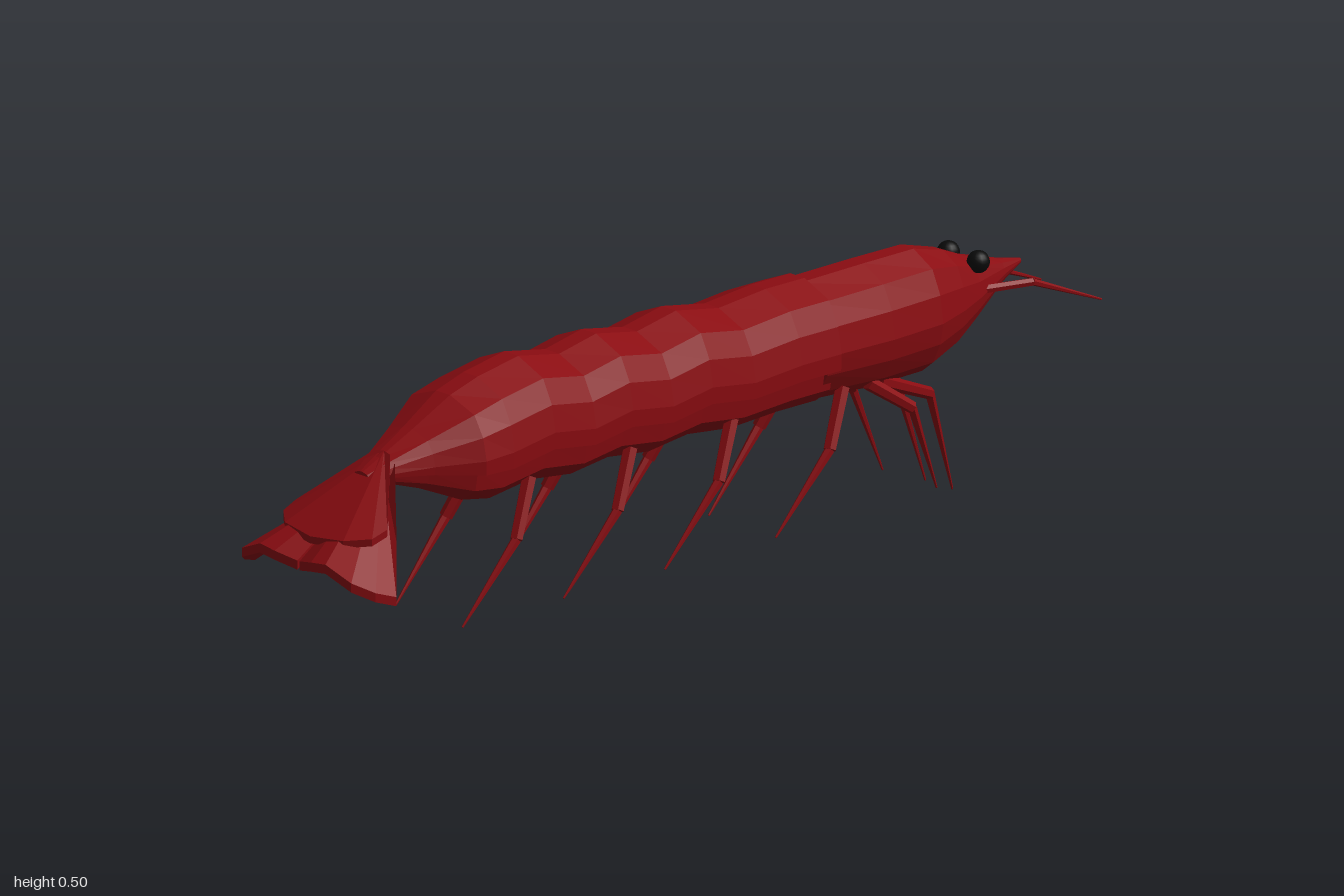
import * as THREE from 'three';

const red = new THREE.MeshStandardMaterial({ color: 0x8a0c11, flatShading: true });
const black = new THREE.MeshStandardMaterial({ color: 0x0a0a0a });

function fromTriangles(positions, index) {
  const g = new THREE.BufferGeometry();
  g.setAttribute('position', new THREE.Float32BufferAttribute(positions, 3));
  g.setIndex(index);
  g.computeVertexNormals();
  return g;
}

// Skin over cross-sections. profile: half section [u, v] from top to bottom;
// rings: [z, half width, bottom y, top y].
function loft(profile, rings) {
  const inner = profile.slice(1, -1).reverse().map(([u, v]) => [-u, v]);
  const section = [...profile, ...inner];
  const n = section.length, pos = [], idx = [];
  for (const [z, w, y0, y1] of rings)
    for (const [u, v] of section) pos.push(u * w, y0 + v * (y1 - y0), z);
  for (let i = 0; i < rings.length - 1; i++)
    for (let j = 0; j < n; j++) {
      const a = i * n + j, b = i * n + (j + 1) % n, c = a + n, d = b + n;
      idx.push(a, c, b, b, c, d);
    }
  // end caps
  [0, rings.length - 1].forEach((r, end) => {
    const [z, , y0, y1] = rings[r], centre = pos.length / 3;
    pos.push(0, (y0 + y1) / 2, z);
    for (let j = 0; j < n; j++) {
      const a = r * n + j, b = r * n + (j + 1) % n;
      if (end) idx.push(centre, b, a); else idx.push(centre, a, b);
    }
  });
  return fromTriangles(pos, idx);
}

// Thin slab under an outline of 3D points, fanned from the first point.
function plate(points, thickness, side) {
  const n = points.length, pos = [], idx = [];
  const tri = (a, b, c) => (side > 0 ? idx.push(a, c, b) : idx.push(a, b, c));
  for (const drop of [0, thickness])
    for (const [x, y, z] of points) pos.push(x * side, y - drop, z);
  for (let j = 1; j < n - 1; j++) {
    tri(0, j, j + 1);
    tri(n, n + j + 1, n + j);
  }
  for (let j = 0; j < n; j++) {
    const k = (j + 1) % n;
    tri(j, n + j, k);
    tri(k, n + j, n + k);
  }
  return fromTriangles(pos, idx);
}

// Jointed limb: straight tapered pieces. joints: [x, y, z, radius at start, radius at end].
function limb(name, joints, side) {
  const group = new THREE.Group();
  group.name = name;
  for (let i = 0; i < joints.length - 1; i++) {
    const a = new THREE.Vector3(joints[i][0] * side, joints[i][1], joints[i][2]);
    const b = new THREE.Vector3(joints[i + 1][0] * side, joints[i + 1][1], joints[i + 1][2]);
    const dir = b.clone().sub(a);
    const g = new THREE.CylinderGeometry(joints[i][4], joints[i][3], dir.length(), 6);
    const m = new THREE.Mesh(g, red);
    m.name = name + 'Segment' + (i + 1);
    m.position.copy(a).add(b).multiplyScalar(0.5);
    m.quaternion.setFromUnitVectors(new THREE.Vector3(0, 1, 0), dir.normalize());
    group.add(m);
  }
  return group;
}

export function createModel() {
  const model = new THREE.Group();
  model.name = 'shrimp';
  const add = (name, geometry, material = red) => {
    const m = new THREE.Mesh(geometry, material);
    m.name = name;
    model.add(m);
    return m;
  };

  // abdomen: domed shell overhanging a narrower belly, with wavy segments
  const shellProfile = [[0, 1], [0.16, 1], [0.72, 0.88], [0.92, 0.68], [1, 0.46], [0.99, 0.32],
    [0.8, 0.33], [0.74, 0.13], [0.42, 0], [0, 0]];
  const abdomenRings = [[-0.3, 0.122, 0.258, 0.492], [-0.2, 0.122, 0.258, 0.492]];
  [-0.08, 0.03, 0.13, 0.235, 0.33, 0.435].forEach((z, i) =>
    abdomenRings.push([z, 0.122, i % 2 ? 0.264 : 0.252, i % 2 ? 0.5 : 0.481]));
  abdomenRings.push([0.54, 0.122, 0.25, 0.482], [0.61, 0.12, 0.262, 0.461],
    [0.7, 0.075, 0.3, 0.412], [0.78, 0.04, 0.325, 0.372], [0.82, 0.022, 0.325, 0.352]);
  add('abdomen', loft(shellProfile, abdomenRings)).position.x = -0.004;

  // carapace tapering to the pointed snout
  const headProfile = [[0, 1], [0.18, 1], [0.7, 0.88], [0.92, 0.68], [1, 0.45],
    [0.92, 0.27], [0.72, 0.1], [0.42, 0], [0, 0]];
  add('carapace', loft(headProfile, [
    [-0.87, 0.004, 0.393, 0.402], [-0.81, 0.024, 0.368, 0.415], [-0.72, 0.056, 0.312, 0.441],
    [-0.66, 0.076, 0.277, 0.467], [-0.58, 0.1, 0.253, 0.488], [-0.45, 0.107, 0.252, 0.488],
    [-0.28, 0.111, 0.262, 0.486],
  ])).position.x = -0.002;

  const outerFan = [[0, 0.355, 0.77], [0.035, 0.365, 0.77], [0.125, 0.25, 0.85], [0.194, 0.172, 0.915],
    [0.18, 0.185, 0.955], [0.15, 0.205, 0.99], [0.09, 0.23, 1], [0.05, 0.225, 1], [0.003, 0.213, 0.985]];
  const innerFan = [[0, 0.382, 0.765], [0.022, 0.38, 0.77], [0.126, 0.28, 0.875],
    [0.122, 0.268, 0.91], [0.08, 0.262, 0.945], [0, 0.255, 0.955]];

  for (const side of [1, -1]) {
    const label = side > 0 ? 'left' : 'right';

    // tail fan
    add(label + 'OuterTailFan', plate(outerFan, 0.018, side));
    add(label + 'InnerTailFan', plate(innerFan, 0.014, side));

    // eyes
    add(label + 'Eye', new THREE.SphereGeometry(0.022, 16, 12), black)
      .position.set(0.041 * side, 0.437, -0.723);

    // antennae
    model.add(limb(label + 'Antenna', [
      [0.035, 0.378, -0.73, 0.009, 0.008], [0.065, 0.377, -0.84, 0.007, 0.002], [0.083, 0.312, -1]], side));

    // swimming legs
    [0.47, 0.21, -0.05, -0.335].forEach((z, i) => model.add(limb(label + 'Leg' + (i + 1), [
      [0.072, 0.28, z - 0.01, 0.015, 0.013], [0.097, 0.175, z + 0.046, 0.01, 0.002],
      [0.092, 0.03, z + 0.18]], side)));

    // front legs
    model.add(limb(label + 'InnerFrontLeg', [
      [0.05, 0.262, -0.46, 0.014, 0.012], [0.045, 0.207, -0.595, 0.009, 0.002], [0.037, 0.002, -0.66]], side));
    model.add(limb(label + 'OuterFrontLeg', [
      [0.062, 0.27, -0.42, 0.014, 0.012], [0.082, 0.205, -0.515, 0.009, 0.002], [0.074, 0.03, -0.585]], side));
  }
  return model;
}
